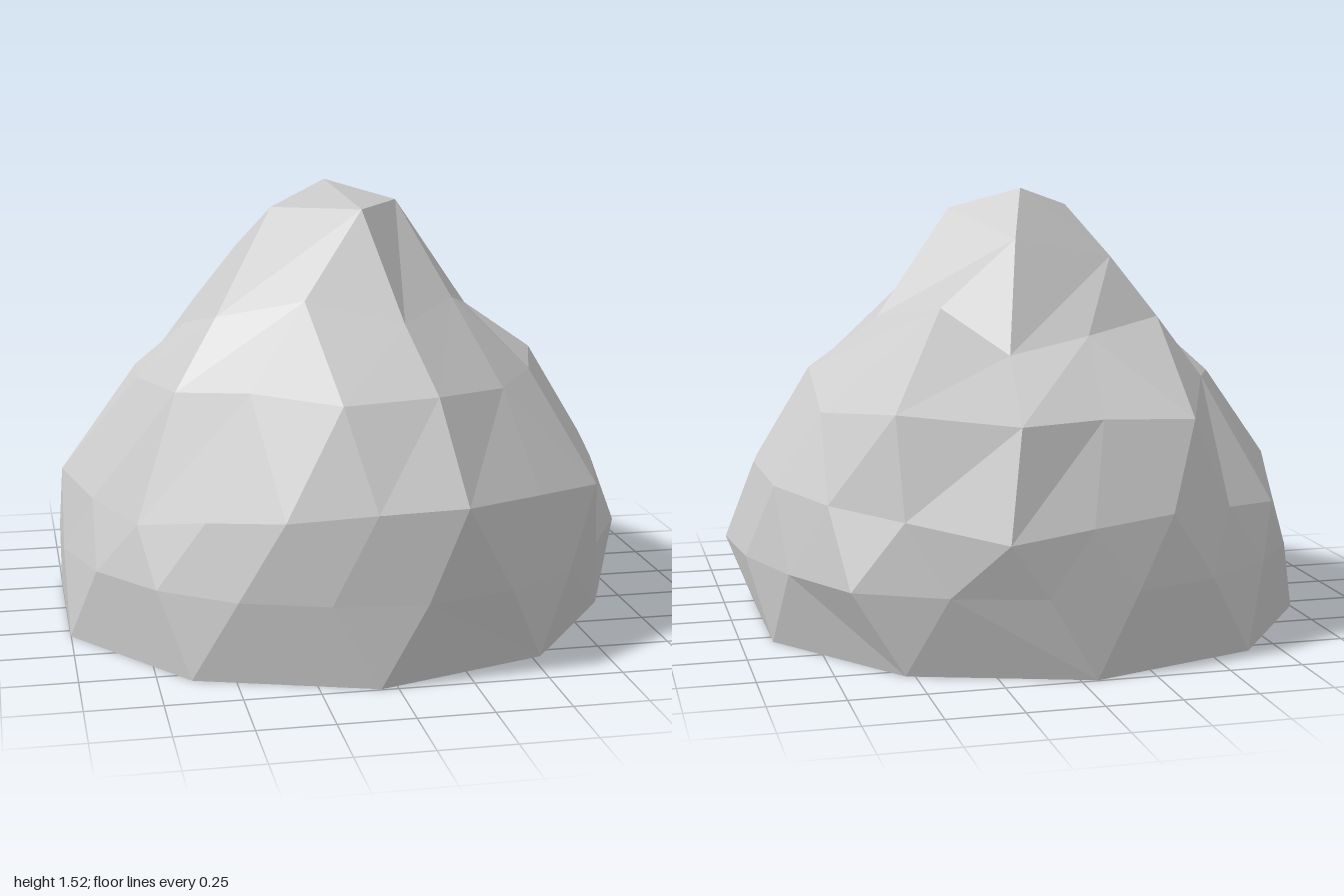
import * as THREE from 'three';

const CENTRE_X = -0.055;

// One loop of the rock: [radius, height, extra turn] points spread evenly,
// the angle runs from +x to +z.
function ring(points, startDeg = 0) {
  return points.map(([r, y, turn = 0], i) => {
    const deg = startDeg + (i * 360) / points.length;
    const a = THREE.MathUtils.degToRad(deg + turn);
    return { deg, p: [CENTRE_X + r * Math.cos(a), y, r * Math.sin(a)] };
  });
}

// Joins two loops with triangles, always stepping along the one that lags in angle.
function stitch(out, lower, upper) {
  const at = (loop, i) => loop[i % loop.length].p;
  const deg = (loop, i) => loop[i % loop.length].deg + 360 * Math.floor(i / loop.length);
  let i = 0, j = 0;
  while (i < lower.length || j < upper.length) {
    const stepLower = j >= upper.length ||
      (i < lower.length && deg(lower, i + 1) <= deg(upper, j + 1));
    if (stepLower) {
      out.push(...at(lower, i), ...at(upper, j), ...at(lower, i + 1));
      i++;
    } else {
      out.push(...at(lower, i), ...at(upper, j), ...at(upper, j + 1));
      j++;
    }
  }
}

export function createModel() {
  const peak = [-0.04, 1.52, -0.07];

  // Summit, falling away in a flat slope at the back
  const summit = ring([[0.26, 1.45], [0.3, 1.45, 3], [0.265, 1.45], [0.33, 1.28, -9], [0.22, 1.35]]);

  // Shoulders
  const neck = ring([
    [0.52, 1.07], [0.49, 1.14], [0.6, 1.1, 2], [0.49, 1.17], [0.53, 1.1],
    [0.5, 1.03], [0.5, 1.07, -9], [0.44, 1.03], [0.515, 0.98], [0.425, 1.12],
  ]);

  // Upper flank, with a ledge at the back
  const flank = ring([
    [0.765, 0.9], [0.74, 0.88], [0.76, 0.87], [0.83, 0.9, 2], [0.79, 0.88],
    [0.72, 0.9], [0.72, 0.87], [0.7, 0.87], [0.68, 0.86], [0.66, 0.86, -9],
    [0.83, 0.78], [0.78, 0.8], [0.89, 0.8, -4], [0.92, 0.83, -2], [0.85, 0.79],
  ]);

  // Belly
  const belly = ring([
    [0.965, 0.57], [0.96, 0.55], [1.03, 0.53], [0.98, 0.555], [1.03, 0.58, 2],
    [0.95, 0.56], [0.93, 0.53], [0.89, 0.5], [0.9, 0.45], [0.9, 0.48],
    [0.945, 0.52], [0.9, 0.48], [0.94, 0.45], [0.91, 0.48], [0.93, 0.5],
    [0.95, 0.48], [1.03, 0.45, -2], [0.99, 0.5], [0.98, 0.52], [0.98, 0.54],
  ]);

  // Foot: a plain ten-sided outline, with a slightly bulging loop above it
  const base = ring(Array.from({ length: 10 }, () => [0.995, 0]), 18);
  const bulge = { 0: 1.065, 1: 1, 2: 1.01, 3: 1.01, 4: 1.0, 15: 1.0, 16: 1.01, 17: 1.06, 18: 1.02, 19: 1.03 };
  const foot = ring(Array.from({ length: 20 }, (_, j) => [bulge[j] ?? 0.965, 0.27]), 9);

  const positions = [];
  const loops = [base, foot, belly, flank, neck, summit];
  for (let k = 0; k < loops.length - 1; k++) stitch(positions, loops[k], loops[k + 1]);

  // Close the peak and the flat underside
  summit.forEach((v, i) => positions.push(...v.p, ...peak, ...summit[(i + 1) % summit.length].p));
  base.forEach((v, i) => positions.push(CENTRE_X, 0, 0, ...v.p, ...base[(i + 1) % base.length].p));

  const geometry = new THREE.BufferGeometry();
  geometry.setAttribute('position', new THREE.Float32BufferAttribute(positions, 3));
  geometry.computeVertexNormals();

  const rock = new THREE.Mesh(
    geometry,
    new THREE.MeshStandardMaterial({ color: 0xcccccc, flatShading: true }),
  );
  rock.name = 'rock';

  const group = new THREE.Group();
  group.name = 'boulder';
  group.add(rock);
  return group;
}
